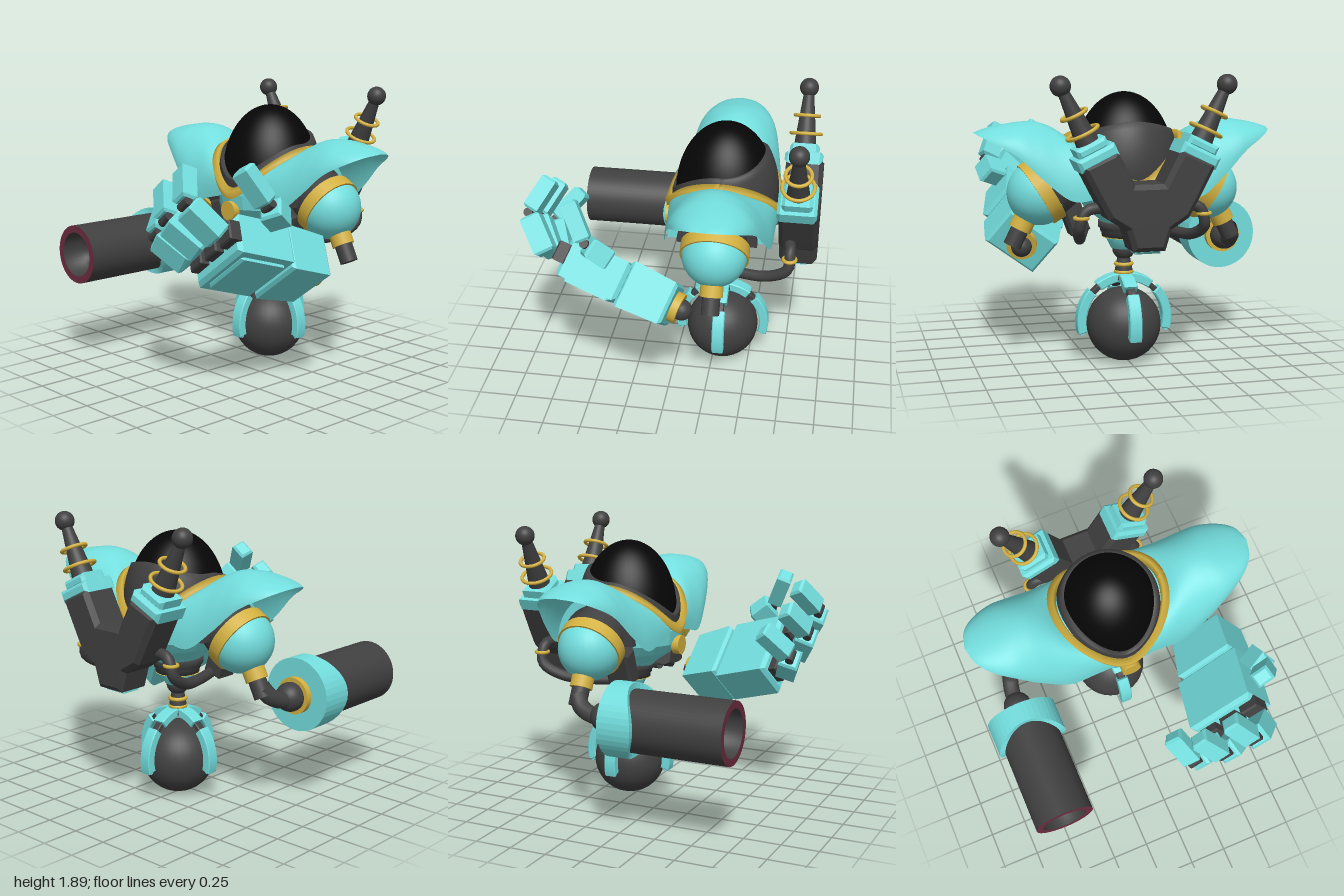
import * as THREE from 'three';

const V = (x, y, z = 0) => new THREE.Vector3(x, y, z);
const paint = (name, color) => {
  const m = new THREE.MeshStandardMaterial({ color, side: THREE.DoubleSide });
  m.name = name;
  return m;
};

export function createModel() {
  const teal = paint('teal', 0x73dddd), grey = paint('dark grey', 0x404040), black = paint('black', 0x060606);
  const gold = paint('gold', 0xd2b040), maroon = paint('maroon', 0x6e2c40);
  const model = new THREE.Group();
  model.name = 'robot';

  // helpers
  const add = (parent, name, geo, mat, pos) => {
    const m = new THREE.Mesh(geo, mat);
    m.name = name;
    if (pos) m.position.copy(pos);
    parent.add(m);
    return m;
  };
  const group = (parent, name, x = 0, y = 0, z = 0) => {
    const g = new THREE.Group();
    g.name = name;
    g.position.set(x, y, z);
    parent.add(g);
    return g;
  };
  const ball = (r) => new THREE.SphereGeometry(r, 32, 20);
  const lathe = (pts, n = 40) => new THREE.LatheGeometry(pts.map(p => new THREE.Vector2(p[0], p[1])), n);
  const extrude = (shape, depth, b) => new THREE.ExtrudeGeometry(shape, {
    depth: depth - 2 * b, bevelEnabled: b > 0, bevelThickness: b, bevelSize: b, bevelOffset: -b, bevelSegments: 1, curveSegments: 12,
  }).translate(0, 0, b - depth / 2);
  const poly = (pts) => new THREE.Shape(pts.map(p => new THREE.Vector2(p[0], p[1])));
  const block = (w, h, d, b = 0.015) =>
    extrude(poly([[-w / 2, -h / 2], [w / 2, -h / 2], [w / 2, h / 2], [-w / 2, h / 2]]), d, b);
  const grid = (nu, nv, f) => {
    const pos = [], idx = [];
    for (let i = 0; i <= nu; i++) for (let j = 0; j <= nv; j++) pos.push(...f(i / nu, j / nv).toArray());
    for (let i = 0; i < nu; i++) for (let j = 0; j < nv; j++) {
      const a = i * (nv + 1) + j, b = a + nv + 1;
      idx.push(a, a + 1, b, b, a + 1, b + 1);
    }
    const g = new THREE.BufferGeometry();
    g.setAttribute('position', new THREE.Float32BufferAttribute(pos, 3));
    g.setIndex(idx);
    g.computeVertexNormals();
    return g;
  };
  // cylinder running from a to b
  const rod = (parent, name, a, b, ra, rb, mat) => {
    const d = b.clone().sub(a);
    const m = add(parent, name, new THREE.CylinderGeometry(rb, ra, d.length(), 28), mat, a.clone().add(b).multiplyScalar(0.5));
    m.quaternion.setFromUnitVectors(V(0, 1, 0), d.normalize());
    return m;
  };
  const tube = (pts, r) => new THREE.TubeGeometry(new THREE.CatmullRomCurve3(pts), 28, r, 12);

  const body = group(model, 'body', 0.02, 0, -0.31);

  // wheel ball and its four claws
  add(body, 'wheelBall', ball(0.245), grey, V(0, 0.25, 0));
  const arc = (r0, r1, a0, a1, w) => {
    const s = new THREE.Shape(), k = Math.PI / 180;
    s.absarc(0, 0, r1, a0 * k, a1 * k, false);
    s.absarc(0, 0, r0, a1 * k, a0 * k, true);
    return extrude(s, w, 0.006);
  };
  for (let i = 0; i < 4; i++) {
    const claw = group(body, 'claw', 0, 0.28, 0);
    claw.rotation.y = i * Math.PI / 2;
    add(claw, 'clawTip', arc(0.26, 0.32, -15, 42, 0.08), teal);
    add(claw, 'clawJoint', arc(0.265, 0.3, 36, 60, 0.055), grey);
    add(claw, 'clawRoot', arc(0.26, 0.318, 53, 84, 0.09), teal);
    add(claw, 'clawFoot', new THREE.CylinderGeometry(0.05, 0.05, 0.06, 16).rotateX(Math.PI / 2).scale(0.5, 1, 1), teal, V(0.285, -0.04, 0));
  }

  // neck between the wheel and the torso
  add(body, 'neckPost', new THREE.CylinderGeometry(0.035, 0.07, 0.18, 24), grey, V(0, 0.64, 0));
  for (const y of [0.6, 0.652]) add(body, 'neckRing', new THREE.TorusGeometry(0.052, 0.013, 10, 28).rotateX(Math.PI / 2), gold, V(0, y, 0));
  add(body, 'neckBall', ball(0.075), grey, V(0, 0.755, 0));
  add(body, 'neckCup', lathe([[0.06, 0.755], [0.085, 0.76], [0.12, 0.83], [0.12, 0.85], [0, 0.85]], 16), teal);
  add(body, 'waistRing', new THREE.RingGeometry(0.118, 0.145, 32).rotateX(Math.PI / 2), gold, V(0, 0.836, 0));
  add(body, 'waist', lathe([[0, 0.84], [0.145, 0.84], [0.145, 0.87], [0.155, 0.87], [0.155, 0.9], [0.17, 0.9], [0.17, 0.94], [0, 0.94]], 16), grey);

  // chest
  const chest = lathe([[0, 0.92], [0.16, 0.92], [0.2, 0.96], [0.3, 1.03], [0.36, 1.1], [0.38, 1.2], [0.34, 1.22]], 20).toNonIndexed();
  chest.scale(0.86, 1, 1).computeVertexNormals();
  add(body, 'chest', chest, teal);
  add(body, 'chestDisc', new THREE.CylinderGeometry(0.065, 0.065, 0.05, 28).rotateX(Math.PI / 2), gold, V(0, 1.09, 0.37));

  // domed head, hood and saddle shaped collar
  const collarY = (p) => 1.11 + 0.36 * Math.sqrt(Math.cos(p) ** 2 + 0.06);
  const domeR = (y) => 0.325 * Math.sqrt(1 - ((y - 1.3) / 0.475) ** 2);
  add(body, 'dome', new THREE.SphereGeometry(1, 48, 28, 0, Math.PI * 2, 0, Math.PI * 0.62).scale(0.325, 0.475, 0.325), black, V(0, 1.3, 0));
  add(body, 'hood', grid(64, 12, (u, v) => {
    const p = u * Math.PI * 2, s = Math.sin(p);
    const top = s > 0 ? collarY(p) + 0.05 + 0.05 * s * s : 1.53 + 0.07 * s * s;
    const y = 1.14 + (top - 1.14) * Math.min(1, v * 12 / 11);
    const r = domeR(y) + (v === 1 ? 0 : 0.025);
    return V(r * Math.cos(p), y, r * s);
  }), grey);
  const rim = [[0.385, -0.03], [0.395, 0.02], [0.355, 0.045], [0.335, -0.02], [0.385, -0.03]];
  add(body, 'collar', grid(72, 4, (u, v) => {
    const p = u * Math.PI * 2, [r, dy] = rim[Math.round(v * 4)];
    return V(r * Math.cos(p), collarY(p) + dy, r * Math.sin(p));
  }), gold);

  // shoulder pads, shoulders, hip blocks and hoses
  const ridge = new THREE.CatmullRomCurve3([V(0.36, 1.47), V(0.45, 1.54), V(0.55, 1.585), V(0.66, 1.595), V(0.78, 1.58), V(0.88, 1.56), V(0.975, 1.53)]);
  const edge = new THREE.CatmullRomCurve3([V(0.07, 1.19, 0.36), V(0.22, 1.15, 0.35), V(0.4, 1.12, 0.34), V(0.58, 1.25, 0.31), V(0.74, 1.4, 0.265), V(0.87, 1.475, 0.195), V(0.945, 1.515, 0.11), V(0.975, 1.53, 0)]);
  // half cylinder arch pointing sideways, from x0 to x1
  const arch = (r, x0, x1) => new THREE.CylinderGeometry(r, r, x1 - x0, 28, 1, false, 0, Math.PI)
    .rotateZ(Math.PI / 2).translate((x0 + x1) / 2, 0, 0);
  for (const s of [-1, 1]) {
    const side = s > 0 ? 'left' : 'right';
    add(body, side + 'ShoulderPad', grid(36, 36, (u, v) => {
      const P = ridge.getPoint(u), Q = edge.getPoint(u), a = (v - 0.5) * Math.PI, c = Math.cos(a);
      return V(s * (Q.x + (P.x - Q.x) * c), Q.y + (P.y - Q.y) * c, Q.z * Math.sin(a));
    }), teal);
    for (const [name, r, x0, x1, mat] of [['PadLining', 0.32, 0.22, 0.41, teal], ['SocketArch', 0.255, 0.3, 0.46, grey]]) {
      add(body, side + name, arch(r, x0, x1), mat, V(0, 1.15)).rotation.y = s > 0 ? 0 : Math.PI;
    }
    const c = V(s * 0.54, 1.15), ax = V(s * 0.855, -0.52);
    const at = (t) => c.clone().addScaledVector(ax, t);
    rod(body, side + 'ShoulderSocket', at(-0.32), at(-0.03), 0.16, 0.2, grey);
    rod(body, side + 'ShoulderBand', at(-0.04), at(0.045), 0.218, 0.218, gold);
    add(body, side + 'Shoulder', ball(0.208), teal, at(0.02));
    const dir = V(s * 0.45, -0.9), top = V(s * 0.63, 1.02);
    const down = (t) => top.clone().addScaledVector(dir, t);
    rod(body, side + 'ArmCuff', down(0), down(0.125), 0.073, 0.073, gold);
    rod(body, side + 'ArmPost', down(0.1), down(0.24), 0.058, 0.058, grey);

    const hip = add(body, side + 'HipBlock', block(0.13, 0.25, 0.18, 0.02), grey, V(s * 0.32, 0.98, 0.1));
    hip.rotation.z = -s * 0.35;
    add(body, side + 'Hose', tube([V(s * 0.25, 1.1, -0.45), V(s * 0.36, 1.08, -0.46), V(s * 0.4, 0.97, -0.45), V(s * 0.37, 0.89, -0.32), V(s * 0.31, 0.87, -0.1), V(s * 0.24, 0.88, 0.12)], 0.036), grey);
    add(body, side + 'HoseRing', new THREE.TorusGeometry(0.04, 0.012, 8, 24).rotateX(Math.PI / 2), gold, V(s * 0.39, 1.04, -0.46));
  }

  // back pack with two antennas
  const pack = group(body, 'backPack', 0, 0, -0.5);
  const half = [[0.1, 0.84], [0.14, 0.97], [0.25, 1.04], [0.3, 1.13], [0.42, 1.36], [0.2, 1.46], [0.09, 1.25]];
  add(pack, 'packBody', extrude(poly([...half, ...half.map(p => [-p[0], p[1]]).reverse()]), 0.25, 0.03), grey);
  add(pack, 'packFoot', block(0.16, 0.06, 0.15), teal, V(0, 0.85, 0));
  for (const s of [-1, 1]) {
    const antenna = group(pack, 'antenna', s * 0.317, 1.415, 0.01);
    antenna.rotation.z = -s * 0.45;
    add(antenna, 'antennaCap', block(0.255, 0.08, 0.25, 0.02), teal);
    add(antenna, 'antennaCapTop', block(0.2, 0.07, 0.19, 0.02), teal, V(0, 0.06, 0));
    add(antenna, 'antennaRod', new THREE.CylinderGeometry(0.032, 0.075, 0.38, 28), grey, V(0, 0.26, 0));
    add(antenna, 'antennaBall', ball(0.063), grey, V(0, 0.467, 0));
    [[0.16, 0.1], [0.28, 0.08]].forEach(([y, r]) =>
      add(antenna, 'antennaRing', new THREE.TorusGeometry(r, 0.012, 10, 36).rotateX(Math.PI / 2), gold, V(0, y, 0)));
  }

  // cannon on the right arm, its collar scooped above and below
  const cannon = group(model, 'cannon', -0.755, 0.767, 0);
  const onZ = (pts) => lathe(pts).rotateX(Math.PI / 2);
  const collar = onZ([[0, 0.025], [0.24, 0.025], [0.24, 0.2], [0.19, 0.2]]).translate(0, 0, -0.05).toNonIndexed(), cp = collar.attributes.position;
  for (let i = 0; i < cp.count; i++) {
    const x = cp.getX(i), y = cp.getY(i);
    if (cp.getZ(i) > 0.1) cp.setZ(i, 0.2 - 0.09 * y * y / (x * x + y * y));
  }
  collar.computeVertexNormals();
  add(cannon, 'cannonCollar', collar, teal);
  add(cannon, 'barrel', new THREE.CylinderGeometry(0.2, 0.2, 0.7, 48, 1, true).rotateX(Math.PI / 2), grey, V(0, 0, 0.425));
  add(cannon, 'muzzle', new THREE.RingGeometry(0.152, 0.2, 48), maroon, V(0, 0, 0.775));
  add(cannon, 'bore', onZ([[0.152, 0.775], [0.14, 0.64], [0.095, 0.64], [0.09, 0.56], [0, 0.56]]), grey);
  add(cannon, 'cannonRing', new THREE.CylinderGeometry(0.12, 0.12, 0.05, 32).rotateX(Math.PI / 2), gold, V(0, 0, -0.04));
  add(cannon, 'elbowBall', ball(0.095), grey, V(0, 0, -0.09));
  add(cannon, 'elbow', tube([V(0.05, 0.1, -0.31), V(0.02, 0.04, -0.27), V(0, 0, -0.18), V(0, 0, -0.08)], 0.055), grey);

  // left hand, with its own axes: x across the knuckles, y out of the palm, z along the hand
  const F = V(-0.2, 0.28, 0.94).normalize(), W = V(0.81, 0.58, -0.05);
  W.addScaledVector(F, -W.dot(F)).normalize();
  const hand = group(model, 'hand', 0.65, 0.775, -0.06);
  hand.quaternion.setFromRotationMatrix(new THREE.Matrix4().makeBasis(W, F.clone().cross(W), F));
  const wrist = block(0.46, 0.33, 0.32, 0.02), wp = wrist.attributes.position;
  for (let i = 0; i < wp.count; i++) { // taper towards the arm
    const k = 0.9 + 0.3 * wp.getZ(i);
    wp.setXY(i, wp.getX(i) * k, wp.getY(i) * k);
  }
  wrist.computeVertexNormals();
  add(hand, 'wristBlock', wrist, teal, V(0, 0, 0.16));
  add(hand, 'palm', block(0.49, 0.26, 0.42, 0.025), teal, V(0, 0, 0.52));
  add(hand, 'handPlate', block(0.38, 0.04, 0.32, 0.015), teal, V(0, -0.13, 0.52));
  add(hand, 'wristRing', new THREE.CylinderGeometry(0.1, 0.1, 0.06, 28).rotateX(Math.PI / 2), gold, V(0, 0, -0.02));
  add(hand, 'wristBall', ball(0.068), grey, V(0, 0, -0.06));
  for (let i = -1; i <= 1; i++) add(hand, 'knuckle', block(0.13, 0.13, 0.09, 0.01), grey, V(0.02 + i * 0.165, 0.01, 0.745));

  // fingers and thumb: knuckle, hinge and tip positions
  const bone = (name, a, b, w, t) => {
    const d = b.clone().sub(a), len = d.length(), z = d.normalize();
    const x = W.clone().addScaledVector(z, -W.dot(z)).normalize();
    const m = add(model, name, block(w, t, len), teal, a.clone().add(b).multiplyScalar(0.5));
    m.quaternion.setFromRotationMatrix(new THREE.Matrix4().makeBasis(x, z.clone().cross(x), z));
  };
  const fingers = [
    ['finger', V(0.4, 0.87, 0.7), V(0.155, 1.05, 0.81), V(0.06, 1.23, 0.64)],
    ['finger', V(0.545, 0.97, 0.72), V(0.33, 1.18, 0.87), V(0.18, 1.36, 0.75)],
    ['finger', V(0.69, 1.07, 0.72), V(0.52, 1.3, 0.88), V(0.38, 1.48, 0.76)],
    ['thumb', V(0.765, 1.14, 0.3), V(0.795, 1.27, 0.46), V(0.69, 1.5, 0.58)],
  ];
  for (const [name, a, b, c] of fingers) {
    bone(name + 'Base', a.clone().lerp(b, 0.14), a.clone().lerp(b, 0.93), 0.14, 0.13);
    rod(model, name + 'Pin', b.clone().addScaledVector(W, -0.045), b.clone().addScaledVector(W, 0.045), 0.028, 0.028, grey);
    bone(name + 'Tip', b.clone().lerp(c, 0.08), c, 0.12, 0.1);
  }
  return model;
}
